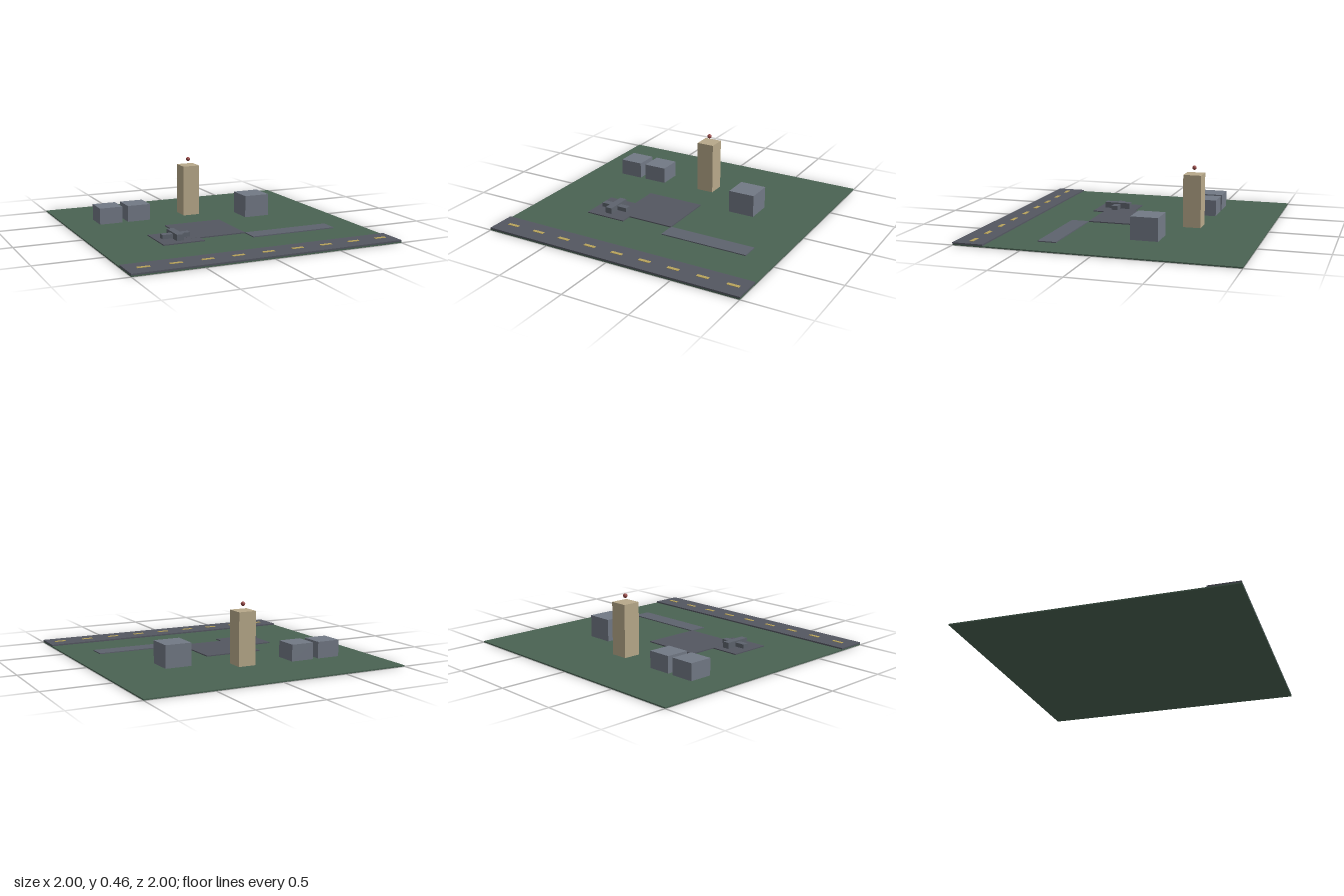
import * as THREE from 'three';

const paint = (color) => new THREE.MeshStandardMaterial({ color });

export function createModel() {
  const model = new THREE.Group();
  const grass = paint(0x4a6353), asphalt = paint(0x545761), strip = paint(0x5d636d);
  const wall = paint(0x727985), sand = paint(0xb8a98a), yellow = paint(0xb8a35c), red = paint(0x9a4a48);

  // box given by its limits on each axis
  function block(name, material, [x0, x1], [y0, y1], [z0, z1], parent = model) {
    const mesh = new THREE.Mesh(new THREE.BoxGeometry(x1 - x0, y1 - y0, z1 - z0), material);
    mesh.position.set((x0 + x1) / 2, (y0 + y1) / 2, (z0 + z1) / 2);
    mesh.name = name;
    parent.add(mesh);
    return mesh;
  }

  // ground and paved areas
  const top = 0.009;
  block('ground', grass, [-1, 1], [0, top], [-1, 1]);
  block('apron', asphalt, [-0.335, 0.11], [top, 0.017], [-0.111, 0.333]);
  block('parkingPad', asphalt, [-0.555, -0.245], [top, 0.0165], [0.11, 0.42]);
  block('taxiStrip', strip, [0.112, 0.777], [top, 0.0165], [0.333, 0.467]);

  // road with dashed centre line
  block('road', asphalt, [-1, 1], [top, 0.02], [0.777, 1]);
  for (let i = 0; i < 9; i++) {
    const x = -0.878 + i * 0.222;
    block('roadDash', yellow, [x - 0.044, x + 0.044], [0.02, 0.023], [0.874, 0.9]);
  }

  // buildings
  for (const x of [-0.669, -0.447]) {
    block('hangar', wall, [x - 0.089, x + 0.089], [top, 0.132], [-0.536, -0.358]);
  }
  block('terminal', wall, [0.343, 0.543], [top, 0.176], [-0.326, -0.126]);

  // control tower with a beacon hovering above it
  block('controlTower', sand, [-0.068, 0.065], [top, 0.397], [-0.514, -0.381]);
  const beacon = new THREE.Mesh(new THREE.SphereGeometry(0.016, 24, 16), red);
  beacon.position.set(-0.001, 0.443, -0.448);
  beacon.name = 'beacon';
  model.add(beacon);

  // parked plane
  const plane = new THREE.Group();
  plane.name = 'plane';
  model.add(plane);
  block('fuselage', strip, [-0.433, -0.38], [0.0165, 0.062], [0.166, 0.366], plane);
  block('wings', strip, [-0.512, -0.301], [0.02, 0.051], [0.242, 0.29], plane);

  return model;
}
